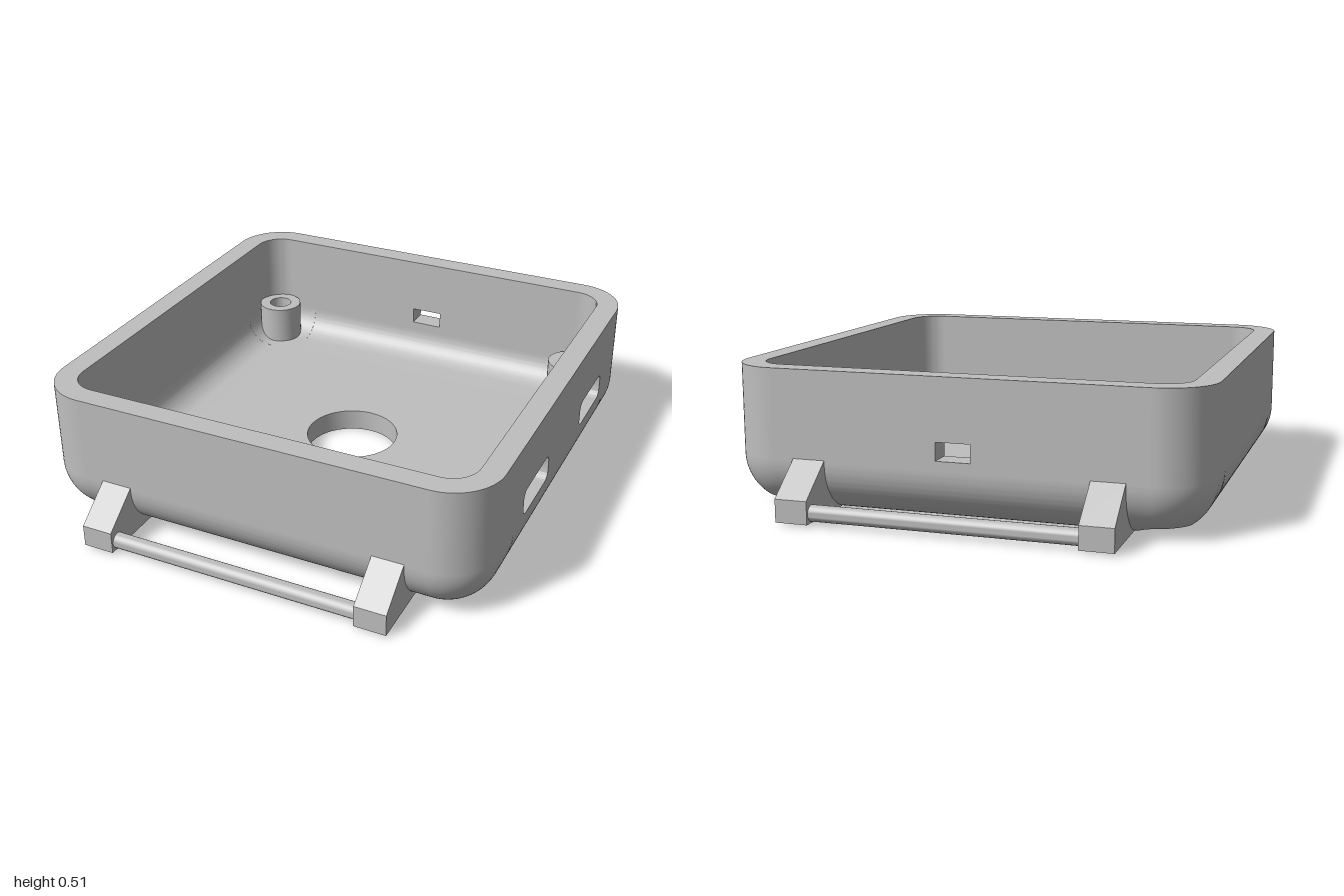
import * as THREE from 'three';
import { toCreasedNormals } from 'three/addons/utils/BufferGeometryUtils.js';

const HALF = 0.86, HEIGHT = 0.515, WALL = 0.085; // outer half width, rim height, thickness
const R_OUT = 0.19, R_IN = R_OUT - WALL;         // outer and inner edge radii
const CORE = HALF - R_OUT;                       // where the rounding starts
const FLAT = 0.55;                               // half width of the flat floor plate
const POST = 0.685;                              // screw post position

const plastic = new THREE.MeshStandardMaterial({ color: 0xbfbfbf });
plastic.name = 'grey plastic';

function part(name, geometry, parent) {
  const mesh = new THREE.Mesh(toCreasedNormals(geometry, 0.6), plastic);
  mesh.name = name;
  parent.add(mesh);
  return mesh;
}

const extrude = (shape, depth) =>
  new THREE.ExtrudeGeometry(shape, { depth, bevelEnabled: false, curveSegments: 20 });

const polygon = (pts) => new THREE.Shape(pts.map(([x, y]) => new THREE.Vector2(x, y)));

// Rectangle path with optional rounded corners
function rectPath(cx, cy, w, h, r, target = new THREE.Path()) {
  const x = cx - w / 2, y = cy - h / 2;
  if (r === 0) {
    target.moveTo(x, y).lineTo(x + w, y).lineTo(x + w, y + h).lineTo(x, y + h).lineTo(x, y);
    return target;
  }
  target.absarc(x + w - r, y + r, r, -Math.PI / 2, 0);
  target.absarc(x + w - r, y + h - r, r, 0, Math.PI / 2);
  target.absarc(x + r, y + h - r, r, Math.PI / 2, Math.PI);
  target.absarc(x + r, y + r, r, Math.PI, Math.PI * 1.5);
  target.closePath();
  return target;
}

// Rounded floor corner around a screw hole: rings swept from the hole to the outline.
// Points are interpolated on the unrolled surface, then rolled back onto the rounding.
function cornerPatch(r, baseY, holeR, capY, facesUp) {
  const reach = CORE + r * Math.PI / 2;
  const remap = (x, z, f) => {
    const ex = Math.max(x - CORE, 0), ez = Math.max(z - CORE, 0), d = Math.hypot(ex, ez);
    const k = d > 1e-9 ? f(d) / d : 1;
    return [Math.min(x, CORE) + ex * k, Math.min(z, CORE) + ez * k, d];
  };
  const unroll = (x, z) => remap(x, z, (d) => r * Math.asin(Math.min(d / r, 1)));
  const roll = (x, z) => {
    const [px, pz, s] = remap(x, z, (s) => r * Math.sin(s / r));
    return [px, baseY + r * (1 - Math.cos(s / r)), pz];
  };

  const outline = [];
  const line = (x0, z0, x1, z1, n) => {
    for (let i = 0; i < n; i++) outline.push([x0 + (x1 - x0) * i / n, z0 + (z1 - z0) * i / n]);
  };
  line(FLAT, FLAT, FLAT, reach, 12);
  line(FLAT, reach, CORE, reach, 6);
  for (let i = 0; i < 16; i++) {
    const t = Math.PI / 2 * (1 - i / 16);
    outline.push([CORE + (reach - CORE) * Math.cos(t), CORE + (reach - CORE) * Math.sin(t)]);
  }
  line(reach, CORE, reach, FLAT, 6);
  line(reach, FLAT, FLAT, FLAT, 12);

  const n = outline.length, steps = 16, positions = [], index = [];
  for (let j = -1; j <= steps; j++) {
    for (const [ox, oz] of outline) {
      const t = Math.max(j, 0) / steps, a = Math.atan2(oz - POST, ox - POST);
      const [hx, hz] = unroll(POST + holeR * Math.cos(a), POST + holeR * Math.sin(a));
      const p = roll(hx + (ox - hx) * t, hz + (oz - hz) * t);
      if (j < 0 && capY !== null) p[1] = capY;
      positions.push(...p);
    }
  }
  for (let j = capY === null ? 1 : 0; j <= steps; j++) {
    for (let i = 0; i < n; i++) {
      const a = j * n + i, b = j * n + (i + 1) % n, c = a + n, d = b + n;
      if (facesUp) index.push(a, c, d, a, d, b);
      else index.push(a, d, c, a, b, d);
    }
  }
  const g = new THREE.BufferGeometry();
  g.setAttribute('position', new THREE.Float32BufferAttribute(positions, 3));
  g.setIndex(index);
  g.computeVertexNormals();
  return g;
}

const lathe = (pts, segments, length) =>
  new THREE.LatheGeometry(pts.map(([x, y]) => new THREE.Vector2(x, y)), segments, 0, length);

export function createModel() {
  const model = new THREE.Group();
  model.name = 'enclosure';

  // Floor plate with the central hole
  const floor = rectPath(0, 0, 2 * FLAT, 2 * FLAT, 0, new THREE.Shape());
  floor.holes.push(new THREE.Path().absarc(0, 0, 0.18, 0, Math.PI * 2, true));
  const floorGeo = extrude(floor, WALL);
  floorGeo.rotateX(-Math.PI / 2);
  part('floor', floorGeo, model);

  // Rounded bottom edges, seen in section
  const edge = new THREE.Shape();
  edge.moveTo(FLAT, 0).lineTo(CORE, 0);
  edge.absarc(CORE, R_OUT, R_OUT, -Math.PI / 2, 0, false);
  edge.lineTo(HALF - WALL, R_OUT);
  edge.absarc(CORE, R_OUT, R_IN, 0, -Math.PI / 2, true);
  edge.lineTo(FLAT, WALL);
  const edgeGeo = extrude(edge, 2 * FLAT);
  edgeGeo.translate(0, 0, -FLAT);

  // Upright walls with their openings: [centre, width, height, corner radius]
  const walls = [
    ['frontWall', []],
    ['rightSideWall', [[-0.309, 0.276, 0.1, 0.03], [0.364, 0.276, 0.1, 0.03]]],
    ['backWall', [[0, 0.125, 0.065, 0]]],
    ['leftSideWall', []],
  ];
  walls.forEach(([name, openings], k) => {
    const side = new THREE.Group();
    side.name = name;
    side.rotation.y = k * Math.PI / 2;
    model.add(side);

    const shape = rectPath(0, (R_OUT + HEIGHT) / 2, 2 * CORE, HEIGHT - R_OUT, 0, new THREE.Shape());
    for (const [x, w, h, r] of openings) shape.holes.push(rectPath(x, 0.26, w, h, r));
    const wallGeo = extrude(shape, WALL);
    wallGeo.translate(0, 0, HALF - WALL);
    part('wall', wallGeo, side);
    part('bottomEdge', edgeGeo, side).rotation.y = -Math.PI / 2;

    // Corner: upright column, rounded floor, recessed screw post
    const corner = new THREE.Group();
    corner.name = 'corner';
    side.add(corner);
    part('cornerWall', lathe([[R_OUT, R_OUT], [R_OUT, HEIGHT], [R_IN, HEIGHT], [R_IN, R_OUT]],
      16, Math.PI / 2), corner).position.set(CORE, 0, CORE);
    part('cornerUnderside', cornerPatch(R_OUT, 0, 0.095, 0.05, false), corner);
    part('cornerFloor', cornerPatch(R_IN, WALL, 0.08, null, true), corner);
    part('screwPost', lathe([[0.09, WALL], [0.09, 0.24], [0.047, 0.24], [0.047, 0.05], [0.095, 0.05]],
      40, Math.PI * 2), corner).position.set(POST, 0, POST);
  });

  // Strap bars on the front and back, each held by two wedge lugs
  const lugShape = polygon([[0.73, 0.008], [1, 0.008], [1, 0.09], [0.86, 0.2], [0.84, 0.2], [0.78, 0.08]]);
  const lugGeo = extrude(lugShape, 0.118);
  lugGeo.translate(0, 0, -0.059);
  lugGeo.rotateY(-Math.PI / 2);
  const barGeo = new THREE.CylinderGeometry(0.029, 0.029, 1, 24);
  barGeo.rotateZ(Math.PI / 2);
  for (const [name, turn] of [['frontStrapBar', 0], ['backStrapBar', Math.PI]]) {
    const holder = new THREE.Group();
    holder.name = name;
    holder.rotation.y = turn;
    model.add(holder);
    for (const s of [-1, 1]) part('lug', lugGeo, holder).position.x = s * 0.533;
    part('bar', barGeo, holder).position.set(0, 0.042, 0.963);
  }
  return model;
}
